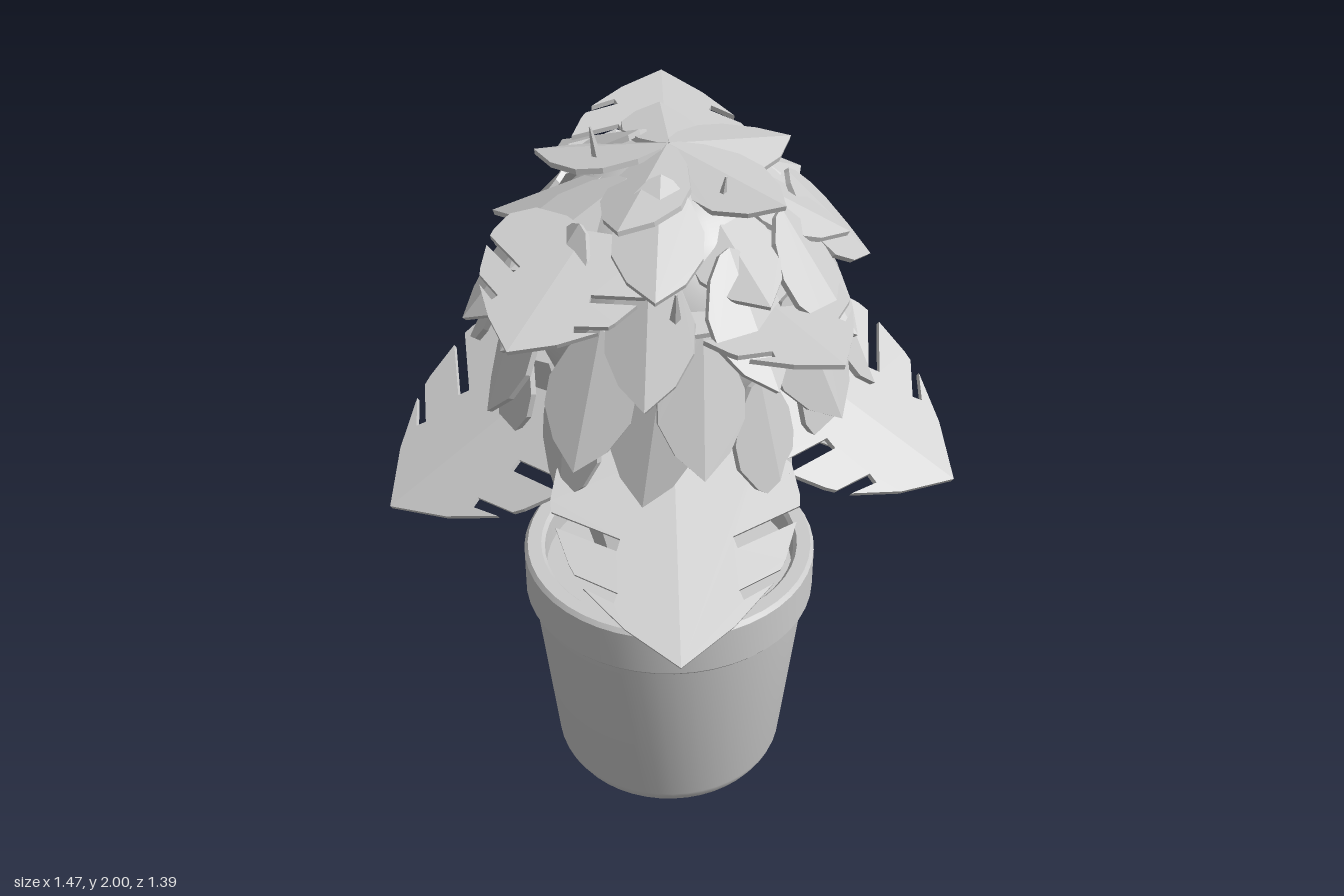
import * as THREE from 'three';
import { mergeGeometries, toCreasedNormals } from 'three/addons/utils/BufferGeometryUtils.js';

const CZ = -0.06; // the pot and the crown share this axis
const grey = new THREE.MeshStandardMaterial({ color: 0xcccccc });
const V = (x, y, z) => new THREE.Vector3(x, y, z);

function add(parent, name, geometry, x = 0, y = 0, z = 0) {
  const mesh = new THREE.Mesh(geometry, grey);
  mesh.name = name;
  mesh.position.set(x, y, z);
  parent.add(mesh);
  return mesh;
}

// Leaf from half an outline: two thin halves, folded along the midrib
function leafGeometry(half, thickness, fold) {
  const halves = [1, -1].map((side) => {
    const shape = new THREE.Shape(half.map(([x, y]) => new THREE.Vector2(x * side, y)));
    const g = new THREE.ExtrudeGeometry(shape, { depth: thickness, bevelEnabled: false });
    const p = g.attributes.position;
    for (let i = 0; i < p.count; i++) p.setZ(i, p.getZ(i) - fold * Math.abs(p.getX(i)));
    g.computeVertexNormals();
    return g;
  });
  return mergeGeometries(halves);
}

// Lays a leaf from its base to its tip, its upper face towards the given direction
function placeLeaf(parent, name, geometry, base, tip, up, scale) {
  const y = tip.clone().sub(base).normalize();
  const x = y.clone().cross(up).normalize();
  const z = x.clone().cross(y);
  const leaf = add(parent, name, geometry);
  leaf.quaternion.setFromRotationMatrix(new THREE.Matrix4().makeBasis(x, y, z));
  leaf.position.copy(base);
  leaf.scale.set(scale, scale, 1);
  return leaf;
}

// Five-sided stem between two points
function addStem(parent, name, from, to, r0, r1) {
  const g = new THREE.CylinderGeometry(r1, r0, from.distanceTo(to), 5).toNonIndexed();
  g.computeVertexNormals();
  const stem = add(parent, name, g);
  stem.position.copy(from).lerp(to, 0.5);
  stem.quaternion.setFromUnitVectors(V(0, 1, 0), to.clone().sub(from).normalize());
}

export function createModel() {
  const model = new THREE.Group();
  model.name = 'pottedPlant';

  // Pot with rim and inner wall
  const profile = [[0, 0.01], [0.29, 0.01], [0.295, 0], [0.31, 0], [0.325, 0.025], [0.33, 0.04], [0.388, 0.585],
    [0.4, 0.585], [0.408, 0.595], [0.408, 0.72], [0.398, 0.732], [0.36, 0.732], [0.35, 0.72], [0.345, 0.6]];
  const pot = new THREE.LatheGeometry(profile.map(([r, y]) => new THREE.Vector2(r, y)), 48);
  add(model, 'pot', toCreasedNormals(pot, 0.6), 0, 0, CZ);
  add(model, 'soil', new THREE.CylinderGeometry(0.355, 0.355, 0.03, 48), 0, 0.635, CZ);

  // Stems spreading and thickening from the soil into the crown
  const stems = new THREE.Group();
  stems.name = 'stems';
  model.add(stems);
  for (let i = 0; i < 9; i++) {
    const a = ((i + 0.25) / 9) * Math.PI * 2;
    const c = Math.cos(a), s = Math.sin(a);
    const r = i % 3 ? 0.15 : 0.09;
    addStem(stems, 'stem', V(r * c, 0.63, CZ + r * s), V(r * 2.1 * c, 1.42, CZ + r * 2.1 * s), 0.03, 0.07);
  }
  // Pointed stem ends poking out of the crown
  for (const [x, y, z] of [[-0.19, 2, -0.09], [0.13, 1.95, 0.08], [0, 1.8, 0.36], [-0.37, 1.75, 0.15]]) {
    addStem(stems, 'stemTip', V(x * 0.8, y - 0.2, CZ + (z - CZ) * 0.8), V(x, y, z), 0.03, 0.003);
  }

  // Round core behind the leaves
  add(model, 'crownCore', new THREE.SphereGeometry(0.36, 32, 20), 0, 1.57, CZ);

  // Small oval leaves
  const small = leafGeometry([[0, 0], [0.08, 0.03], [0.2, 0.17], [0.3, 0.4], [0.3, 0.6], [0.19, 0.82], [0, 1]]
    .map(([x, y]) => [x * 0.4, y * 0.4]), 0.014, 0.2);
  const leaves = new THREE.Group();
  leaves.name = 'smallLeaves';
  model.add(leaves);

  // Five leaves form a star on top, each rolled a little over the next
  for (const degrees of [-92, -25, 38, 112, 196]) {
    const a = THREE.MathUtils.degToRad(degrees);
    const c = Math.cos(a), s = Math.sin(a);
    placeLeaf(leaves, 'topLeaf', small, V(0, 1.945, -0.08), V(0.34 * c, 1.885, -0.08 + 0.34 * s),
      V(-0.15 * s, 1, 0.15 * c), 0.87);
  }

  // Overlapping rings below:
  // count, start angle, base radius and height, tip radius and height, scale
  const rings = [
    [8, 0.2, 0.12, 1.91, 0.44, 1.755, 0.9],
    [10, 0.5, 0.29, 1.83, 0.52, 1.56, 0.9],
    [10, 0.15, 0.385, 1.68, 0.525, 1.36, 0.9],
    [10, 0.4, 0.385, 1.52, 0.46, 1.19, 0.87],
  ];
  rings.forEach(([n, start, r0, y0, r1, y1, scale], ring) => {
    for (let i = 0; i < n; i++) {
      const a = start + (i / n) * Math.PI * 2;
      const b = a + 0.09 * Math.sin(i * 2.4 + ring);
      const dy = 0.03 * Math.sin(i * 4.1 + ring * 2);
      const roll = 0.25 * Math.sin(i * 1.9 + ring * 3);
      const base = V(r0 * Math.cos(a), y0 + dy, CZ + r0 * Math.sin(a));
      const tip = V(r1 * Math.cos(b), y1 + dy, CZ + r1 * Math.sin(b));
      placeLeaf(leaves, 'smallLeaf', small, base, tip, V(Math.cos(a + roll), 0.6, Math.sin(a + roll)), scale);
    }
  });

  // Large leaves with two slits in each half
  const large = leafGeometry([[0, 0], [0.1, -0.03], [0.22, -0.02], [0.295, 0.04], [0.312, 0.12],
    [0.31, 0.15], [0.14, 0.225], [0.15, 0.255], [0.3, 0.19], [0.268, 0.285],
    [0.255, 0.31], [0.15, 0.36], [0.16, 0.385], [0.235, 0.345], [0.135, 0.45], [0, 0.55]], 0.014, 0.04);
  const bigLeaves = new THREE.Group();
  bigLeaves.name = 'largeLeaves';
  model.add(bigLeaves);
  const big = (base, tip, up, scale = 1) => {
    const length = base.distanceTo(tip);
    placeLeaf(bigLeaves, 'largeLeaf', large, base, tip, up, scale).scale.y = length / 0.55;
  };
  big(V(0, 1.27, 0.25), V(0, 0.935, 0.69), V(0, 1, 0.75));
  big(V(0, 1.82, -0.14), V(0, 1.88, -0.625), V(0.1, 1, 0), 0.8);
  for (const s of [1, -1]) {
    const drop = s > 0 ? 0 : 0.045;
    big(V(0.27 * s, 1.39 - drop, -0.02), V(0.73 * s, 1.09 - drop, 0.17), V(0.63 * s, 1, 0.56));
    big(V(0.16 * s, 1.5 - drop, -0.29), V(0.39 * s, 1.26 - drop, -0.69), V(0.48 * s, 1, -0.33), 0.95);
  }
  big(V(0.15, 1.7, 0.13), V(0.39, 1.63, 0.43), V(0.12, 1, 0.15), 0.72);
  big(V(-0.2, 1.83, 0.13), V(-0.39, 1.69, 0.43), V(-0.1, 1, 0.45), 0.68);
  return model;
}
